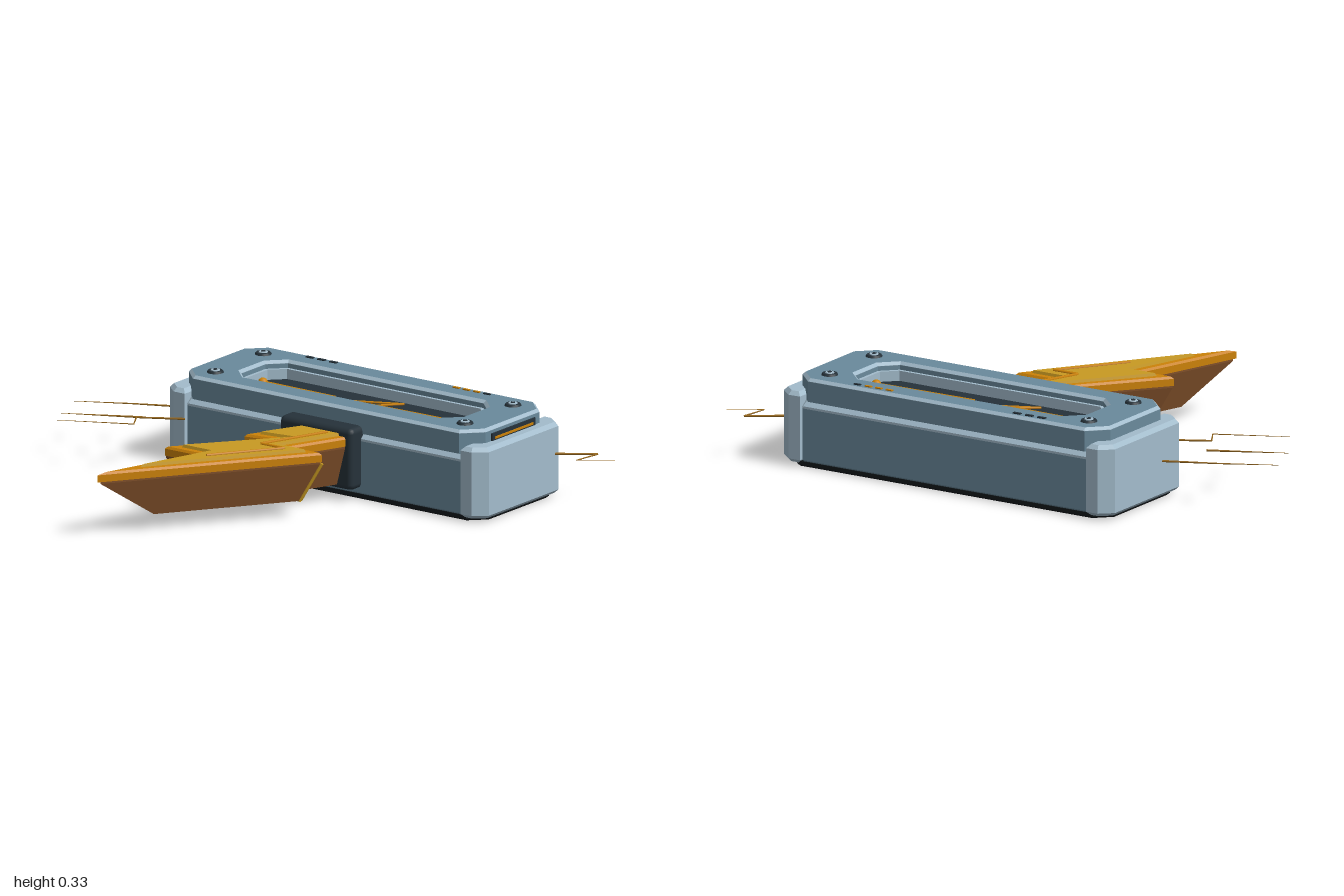
import * as THREE from 'three';
import { RoundedBoxGeometry } from 'three/addons/geometries/RoundedBoxGeometry.js';

const mat = (name, color) => {
  const m = new THREE.MeshStandardMaterial({ color });
  m.name = name;
  return m;
};

// Octagon: a rectangle of half sizes a, b with corners cut by c
const oct = (a, b, c) => [[a, -b + c], [a, b - c], [a - c, b], [-a + c, b], [-a, b - c], [-a, -b + c], [-a + c, -b], [a - c, -b]];

// Moves every edge of a counter-clockwise outline inward by d
function inset(pts, d) {
  const n = pts.length;
  const normal = (p, q) => {
    const dx = q[0] - p[0], dz = q[1] - p[1], l = Math.hypot(dx, dz);
    return [-dz / l, dx / l];
  };
  return pts.map((p, i) => {
    const a = normal(pts[(i + n - 1) % n], p), b = normal(p, pts[(i + 1) % n]);
    const k = d / (1 + a[0] * b[0] + a[1] * b[1]);
    return [p[0] + (a[0] + b[0]) * k, p[1] + (a[1] + b[1]) * k];
  });
}

// Solid made from an x-z outline and [inset, height] layers
function stack(outline, layers) {
  const flat = outline.map(p => new THREE.Vector2(...p));
  const pts = THREE.ShapeUtils.area(flat) < 0 ? [...outline].reverse() : outline;
  const n = pts.length, pos = [];
  const rings = layers.map(([d, y]) => inset(pts, d).map(([x, z]) => [x, y, z]));
  for (let k = 0; k + 1 < rings.length; k++) {
    for (let i = 0; i < n; i++) {
      const j = (i + 1) % n, lo = rings[k], hi = rings[k + 1];
      pos.push(...lo[i], ...hi[i], ...hi[j], ...lo[i], ...hi[j], ...lo[j]);
    }
  }
  [rings[0], rings[rings.length - 1]].forEach((ring, top) => {
    const v = ring.map(p => new THREE.Vector2(p[0], p[2]));
    for (const [a, b, c] of THREE.ShapeUtils.triangulateShape(v, [])) {
      pos.push(...ring[a], ...ring[top ? c : b], ...ring[top ? b : c]);
    }
  });
  const g = new THREE.BufferGeometry();
  g.setAttribute('position', new THREE.Float32BufferAttribute(pos, 3));
  g.computeVertexNormals();
  return g;
}

// Flat frame with a hole, lying in the x-z plane from height y up
function frame(outer, hole, y, options) {
  const toV = pts => pts.map(p => new THREE.Vector2(...p));
  const shape = new THREE.Shape(toV(outer));
  shape.holes.push(new THREE.Path(toV(hole)));
  return new THREE.ExtrudeGeometry(shape, options).rotateX(-Math.PI / 2).translate(0, y, 0);
}

// Tapered rod between two points
function rod(a, b, r0, r1, sides = 6) {
  const p = new THREE.Vector3(...a), q = new THREE.Vector3(...b), d = q.clone().sub(p);
  const g = new THREE.CylinderGeometry(r1, r0, d.length(), sides);
  g.applyQuaternion(new THREE.Quaternion().setFromUnitVectors(new THREE.Vector3(0, 1, 0), d.normalize()));
  return g.translate(...p.add(q).multiplyScalar(0.5).toArray());
}

export function createModel() {
  const steel = mat('steel blue', 0x6a8a9c), light = mat('light steel', 0xa3bccc);
  const dark = mat('dark slate', 0x26323a), black = mat('black base', 0x13191c);
  const gold = mat('gold', 0xc99a22), orange = mat('orange', 0xcc8208), brown = mat('brown', 0x80502a);
  const spark = mat('spark', 0x9a6a1c);

  const model = new THREE.Group();
  const add = (parent, name, geometry, material) => {
    const m = new THREE.Mesh(geometry, material);
    m.name = name;
    parent.add(m);
    return m;
  };

  // Head, lying flat and turned a little
  const head = new THREE.Group();
  head.name = 'head';
  head.position.set(0.08, 0, -0.346);
  head.rotation.y = -0.225;
  model.add(head);
  add(head, 'basePlate', stack(oct(0.66, 0.228, 0.06), [[0.01, 0], [0, 0.008], [0, 0.02]]), black);
  add(head, 'body', stack(oct(0.62, 0.228, 0.04), [[0.008, 0.015], [0, 0.025], [0, 0.208]]), steel);
  add(head, 'bodyBevel', stack(oct(0.62, 0.228, 0.04), [[0, 0.208], [0, 0.216], [0.018, 0.236]]), light);
  for (const s of [-1, 1]) {
    const cap = [[0.585, -0.24], [0.632, -0.24], [0.677, -0.2], [0.677, 0.2], [0.632, 0.24], [0.585, 0.24]];
    add(head, 'endCap', stack(cap.map(([u, v]) => [s * u, v]), [[0.012, 0.014], [0, 0.026], [0, 0.252], [0.013, 0.266]]), light);
  }

  // Top plate with a bevelled window
  const top = oct(0.63, 0.22, 0.065), hole = oct(0.47, 0.125, 0.055);
  add(head, 'topPlate', frame(top, hole, 0.232, { depth: 0.072, bevelEnabled: false }), steel);
  add(head, 'topPlateBevel', frame(top, hole, 0.304, {
    depth: 0.001, bevelThickness: 0.01, bevelSize: 0.01, bevelOffset: -0.01, bevelSegments: 1,
  }), [steel, light]);
  add(head, 'windowLiner', frame(hole, inset(hole, 0.012), 0.24, { depth: 0.048, bevelEnabled: false }), light);
  add(head, 'windowFloor', stack(hole, [[0, 0.238], [0, 0.252]]), dark);

  // Glowing filament inside the window
  const filament = [[-0.43, 0], [-0.12, 0.005], [-0.2, 0.067], [0.115, -0.075], [0.035, 0.008], [0.43, 0]];
  for (let i = 0; i < 5; i++) {
    const r = i === 0 || i === 4 ? 0.008 : 0.004;
    const [a, b] = [filament[i], filament[i + 1]].map(([u, v]) => [u, 0.262, v]);
    add(head, 'filament', rod(a, b, r, r), orange);
  }
  for (const s of [-1, 1]) {
    add(head, 'terminal', new THREE.SphereGeometry(0.018, 12, 8).translate(s * 0.43, 0.262, 0), orange);
  }

  // Screws
  for (const u of [-0.53, 0.53]) {
    for (const v of [-0.138, 0.138]) {
      const disc = (name, r, y, m) => add(head, name, new THREE.CylinderGeometry(r * 0.85, r, 0.008, 16).translate(u, y, v), m);
      disc('screwSeat', 0.03, 0.318, dark);
      disc('screwRing', 0.018, 0.321, light);
      disc('screwCentre', 0.009, 0.323, dark);
    }
  }

  // Small marks on the top plate and its end
  for (const u of [-0.374, -0.324, -0.274]) {
    add(head, 'slot', new THREE.BoxGeometry(0.03, 0.006, 0.012).translate(u, 0.316, -0.195), dark);
  }
  [0.25, 0.293, 0.336, 0.38].forEach((u, i) => {
    add(head, 'indicator', new THREE.BoxGeometry(0.026, 0.006, 0.01).translate(u, 0.316, -0.193), i < 3 ? orange : dark);
  });
  add(head, 'endSlot', new THREE.BoxGeometry(0.008, 0.026, 0.25).translate(0.632, 0.28, 0), dark);
  add(head, 'endLight', new THREE.BoxGeometry(0.008, 0.008, 0.22).translate(0.635, 0.276, 0), orange);

  // Socket joining head and bolt
  add(head, 'socket', new RoundedBoxGeometry(0.31, 0.22, 0.1, 2, 0.02).translate(0, 0.15, 0.232), dark);

  // Bolt-shaped handle: tapered keel, rim and raised face
  const bolt = [[-0.05, -0.115], [-0.19, 0.06], [-0.08, 0.07], [-0.38, 0.305], [-0.245, 0.335],
    [-0.46, 0.7], [0.145, 0.165], [0.015, 0.135], [0.17, -0.08]];
  const handle = new THREE.Group();
  handle.name = 'boltHandle';
  model.add(handle);
  add(handle, 'keel', stack(bolt, [[0.034, 0.056], [0.002, 0.19], [0.002, 0.197]]), brown);
  add(handle, 'rim', stack(bolt, [[0, 0.197], [0, 0.222], [0.005, 0.23]]), orange);
  add(handle, 'face', stack(bolt, [[0.025, 0.228], [0.028, 0.24]]), gold);
  const ridge = [[-0.19, 0.385], [0.02, 0.2], [-0.075, 0.18], [0.075, -0.04]];
  for (let i = 0; i < 3; i++) {
    const [a, b] = [ridge[i], ridge[i + 1]].map(([x, z]) => [x, 0.241, z]);
    add(handle, 'ridge', rod(a, b, 0.006, 0.006), orange);
  }

  // Gold trim around the notch of the keel
  const ccw = [...bolt].reverse();
  const outline = THREE.ShapeUtils.area(bolt.map(p => new THREE.Vector2(...p))) < 0 ? ccw : bolt;
  const low = inset(outline, 0.034);
  const foot = [6, 7].map(k => {
    const p = bolt[k], q = low[outline.indexOf(p)];
    add(handle, 'notchTrim', rod([p[0], 0.192, p[1]], [q[0], 0.058, q[1]], 0.006, 0.006), gold);
    return [q[0], 0.058, q[1]];
  });
  add(handle, 'notchTrim', rod(foot[0], foot[1], 0.006, 0.006), gold);

  // Thin sparks at both ends, each tapering to its tip
  const sparks = [
    [0.148, [-0.61, -0.428], [-0.8, -0.39], [-1, -0.338]],
    [0.148, [-0.705, -0.25], [-0.98, -0.185]],
    [0.165, [-0.54, -0.235], [-0.7, -0.187], [-0.675, -0.108], [-0.935, -0.048]],
    [0.157, [0.77, -0.37], [0.915, -0.428], [0.878, -0.33], [1, -0.38]],
  ];
  for (const [y, ...path] of sparks) {
    const n = path.length - 1, r = i => 0.004 - 0.0032 * i / n;
    for (let i = 0; i < n; i++) {
      const [a, b] = [path[i], path[i + 1]].map(([x, z]) => [x, y, z]);
      add(model, 'spark', rod(a, b, r(i), r(i + 1), 5), spark);
    }
  }
  return model;
}
